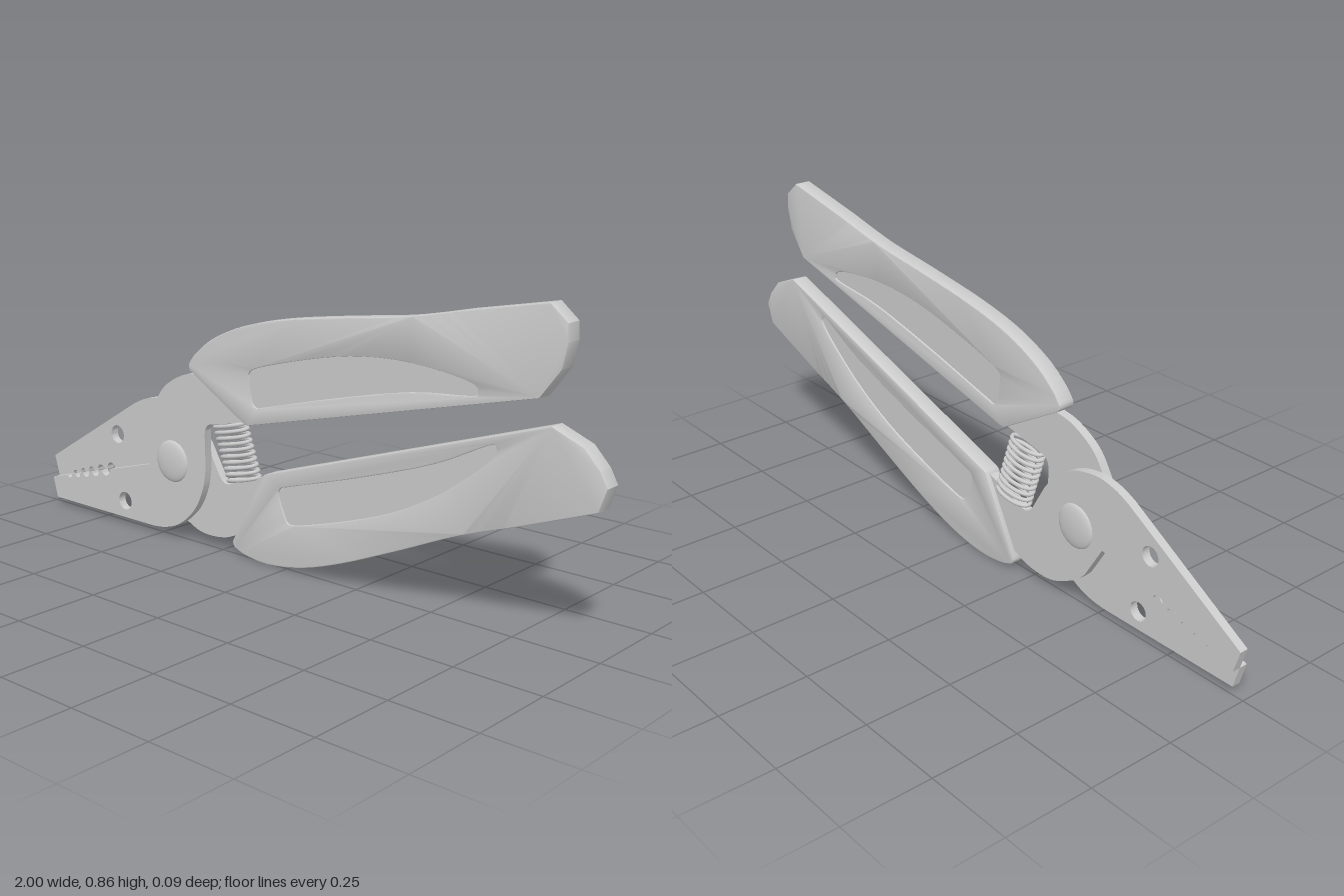
import * as THREE from 'three';
import { toCreasedNormals } from 'three/addons/utils/BufferGeometryUtils.js';

const PIVOT = new THREE.Vector2(-0.43, 0.235);
const TILT = THREE.MathUtils.degToRad(15.6); // direction of the jaw axis
const material = new THREE.MeshStandardMaterial({ color: 0xcccccc });

const vectors = (pts) => pts.map(([x, y]) => new THREE.Vector2(x, y));
const onAxis = (x) => PIVOT.y + (x - PIVOT.x) * Math.tan(TILT);

function addMesh(parent, name, geometry) {
  const mesh = new THREE.Mesh(geometry, material);
  mesh.name = name;
  parent.add(mesh);
  return mesh;
}

// Flat plate between two depths, with an optional small bevel
function plate(shape, z0, z1, bevel = 0) {
  const geometry = new THREE.ExtrudeGeometry(shape, {
    depth: z1 - z0 - 2 * bevel,
    bevelEnabled: bevel > 0,
    bevelThickness: bevel,
    bevelSize: bevel,
    bevelOffset: -bevel,
    bevelSegments: 2,
    curveSegments: 8,
  });
  geometry.translate(0, 0, z0 + bevel);
  return toCreasedNormals(geometry, 0.45);
}

// Jaw, pivot disc and arm in one piece
function bladeShape() {
  const s = new THREE.Shape();
  s.moveTo(-0.53, 0.325);
  s.lineTo(-0.53, onAxis(-0.53));
  // half-round wire notches, shrinking towards the tip
  [-0.73, -0.778, -0.823, -0.863, -0.902].forEach((x, i) => {
    s.absarc(x, onAxis(x), 0.018 - i * 0.002, TILT, TILT + Math.PI, true);
  });
  s.lineTo(-0.982, onAxis(-0.982));
  s.lineTo(-0.965, 0.017);
  s.lineTo(-0.515, 0.017);
  s.splineThru(vectors([[-0.46, 0.025], [-0.4, 0.05], [-0.34, 0.105], [-0.305, 0.175], [-0.293, 0.24]]));
  s.lineTo(-0.295, 0.34);
  s.quadraticCurveTo(-0.292, 0.374, -0.26, 0.375);
  s.lineTo(-0.13, 0.402);
  s.lineTo(-0.1, 0.45);
  s.lineTo(-0.28, 0.53);
  s.lineTo(-0.325, 0.513);
  s.splineThru(vectors([[-0.37, 0.505], [-0.42, 0.483], [-0.465, 0.45], [-0.5, 0.4], [-0.52, 0.363], [-0.53, 0.325]]));
  const hole = new THREE.Path();
  hole.absarc(-0.642, 0.07, 0.028, 0, Math.PI * 2, true);
  s.holes.push(hole);
  return s;
}

function handleShape() {
  const s = new THREE.Shape();
  s.moveTo(-0.335, 0.522);
  s.lineTo(-0.13, 0.403);
  s.quadraticCurveTo(-0.12, 0.396, -0.1, 0.402);
  s.lineTo(0.825, 0.623);
  s.lineTo(0.883, 0.7);
  s.lineTo(0.897, 0.765);
  s.lineTo(0.895, 0.81);
  s.lineTo(0.845, 0.852);
  s.lineTo(0.61, 0.807);
  s.splineThru(vectors([[0.5, 0.783], [0.4, 0.765], [0.22, 0.742], [0.02, 0.712], [-0.125, 0.678], [-0.24, 0.63], [-0.31, 0.58], [-0.34, 0.545]]));
  s.quadraticCurveTo(-0.346, 0.532, -0.335, 0.522);
  return s;
}

// Outline of the sunken grip panel
function gripPoints() {
  const curve = new THREE.SplineCurve(vectors([
    [-0.108, 0.545], [-0.1, 0.48], [-0.083, 0.455], [-0.04, 0.463], [0.2, 0.525], [0.45, 0.58],
    [0.63, 0.598], [0.652, 0.612], [0.635, 0.63], [0.55, 0.646], [0.41, 0.656],
    [0.25, 0.645], [0.08, 0.61], [-0.08, 0.566], [-0.108, 0.545],
  ]));
  return curve.getPoints(56);
}

// One half of the tool: jaw, handle and its rivet head
function buildHalf(name) {
  const half = new THREE.Group();
  half.name = name;
  const parts = new THREE.Group();
  parts.position.set(-PIVOT.x, -PIVOT.y, 0);
  half.add(parts);
  half.position.set(PIVOT.x, PIVOT.y, 0);

  addMesh(parts, 'jawBlade', plate(bladeShape(), 0, 0.025));

  const handle = handleShape();
  handle.holes.push(new THREE.Path(gripPoints()));
  addMesh(parts, 'handle', plate(handle, -0.0105, 0.0395, 0.003));
  addMesh(parts, 'gripPanel', plate(new THREE.Shape(gripPoints()), -0.0055, 0.0345));

  // shallow domed rivet head
  const dome = [];
  for (let i = 0; i <= 8; i++) {
    const a = (i / 8) * Math.PI / 2;
    dome.push(new THREE.Vector2(0.063 * Math.cos(a), 0.013 * Math.sin(a)));
  }
  const rivet = addMesh(parts, 'rivetHead', new THREE.LatheGeometry(dome, 40));
  rivet.rotation.x = Math.PI / 2;
  rivet.position.set(PIVOT.x, PIVOT.y, 0.025);
  return half;
}

// Flattened coil spring leaning from one arm to the other
class Coil extends THREE.Curve {
  getPoint(t, target = new THREE.Vector3()) {
    const a = t * 10 * Math.PI * 2;
    const c = 0.06 * Math.cos(a);
    return target.set(
      -0.205 + 0.035 * t + c * 0.98,
      0.385 - 0.175 * t + c * 0.19,
      0.012 - 0.024 * t + 0.026 * Math.sin(a),
    );
  }
}

export function createModel() {
  const model = new THREE.Group();
  model.name = 'wireStripper';

  const frontHalf = buildHalf('frontHalf');
  // the second half is the first turned over about the jaw axis
  const backHalf = buildHalf('backHalf');
  backHalf.setRotationFromAxisAngle ? backHalf.setRotationFromAxisAngle(new THREE.Vector3(Math.cos(TILT), Math.sin(TILT), 0), Math.PI) : null;
  model.add(frontHalf, backHalf);

  addMesh(model, 'spring', new THREE.TubeGeometry(new Coil(), 320, 0.006, 8));
  return model;
}
